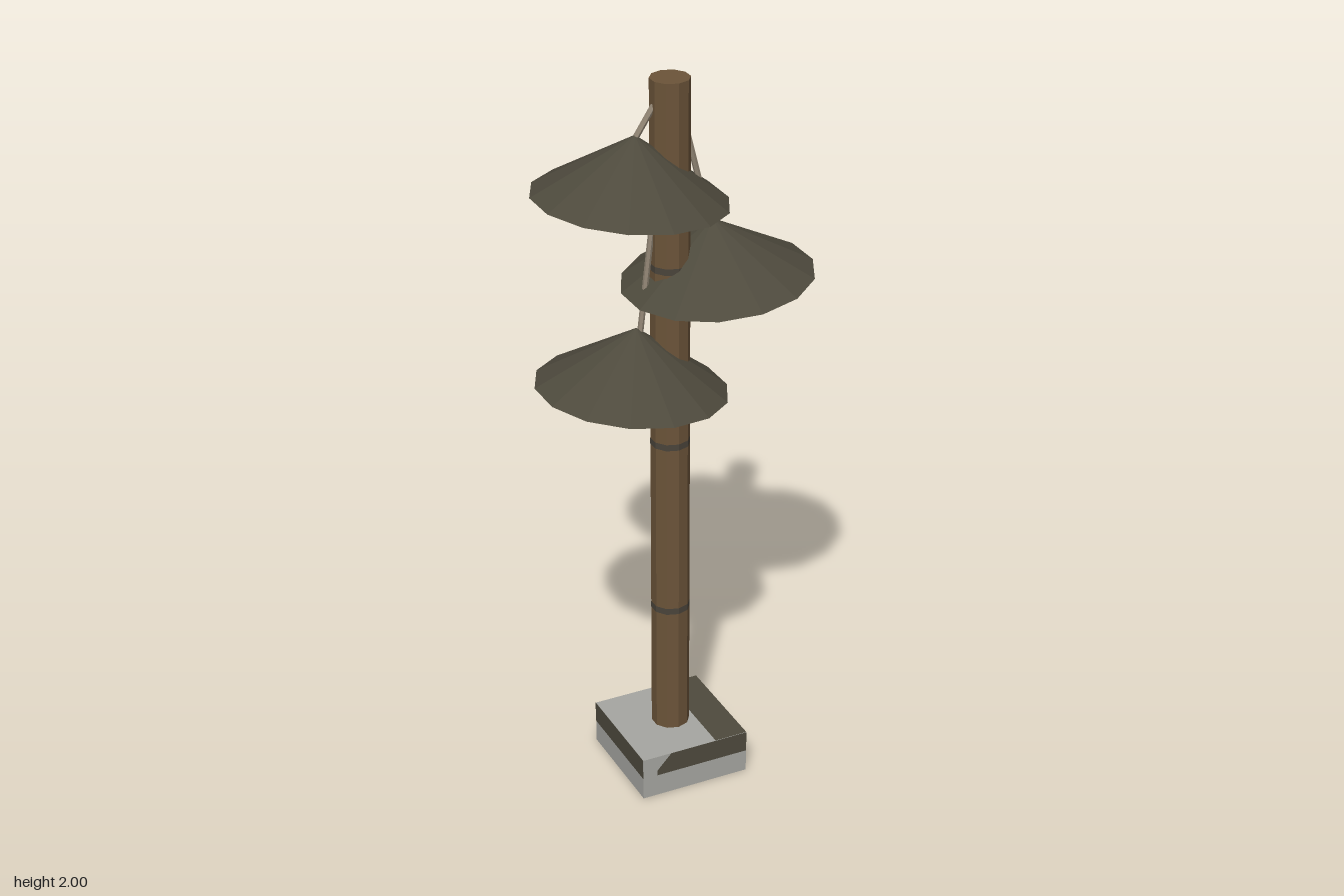
import * as THREE from 'three';

const mat = (name, color) => {
  const m = new THREE.MeshStandardMaterial({ color });
  m.name = name;
  return m;
};

export function createModel() {
  const model = new THREE.Group();
  model.name = 'shadedPost';

  const wood = mat('wood', 0x6b5439);
  const seam = mat('seam', 0x4a443b);
  const slate = mat('slate', 0x4e4a3d);
  const stone = mat('stone', 0xa6a6a1);
  const rod = mat('rod', 0x918574);

  const add = (name, geometry, material, x = 0, y = 0, z = 0, parent = model) => {
    geometry = geometry.index ? geometry.toNonIndexed() : geometry;
    geometry.computeVertexNormals(); // crisp facets
    const mesh = new THREE.Mesh(geometry, material);
    mesh.name = name;
    mesh.position.set(x, y, z);
    parent.add(mesh);
    return mesh;
  };

  const CX = -0.012, BASE = 0.312, BASE_H = 0.125, HALF = BASE / 2;

  // Stone footing with dark painted patches lying just proud of each face
  const footing = new THREE.Group();
  footing.name = 'footing';
  footing.position.x = CX;
  model.add(footing);
  add('footingBlock', new THREE.BoxGeometry(BASE, BASE_H - 0.001, BASE), stone, 0, BASE_H / 2, 0, footing);

  const patch = (name, points) =>
    add(name, new THREE.ShapeGeometry(new THREE.Shape(points.map(p => new THREE.Vector2(...p)))), slate, 0, 0, 0, footing);
  const off = HALF + 0.001;
  const sideBand = [[-HALF, 0.065], [HALF, 0.065], [HALF, BASE_H], [-HALF, BASE_H]];
  const chippedBand = [[-0.115, 0.065], [HALF, 0.065], [HALF, BASE_H], [-0.073, BASE_H], [-0.115, 0.08]];
  ['front', 'left', 'back', 'right'].forEach((side, i) => {
    const p = patch(side + 'Band', i % 2 ? sideBand : chippedBand);
    const a = i * Math.PI / 2;
    p.rotation.y = a;
    p.position.set(Math.sin(a) * off, 0, Math.cos(a) * off);
  });
  const strip = [[0.062, -HALF], [HALF, -HALF], [HALF, HALF], [0.062, HALF]];
  const topStrip = patch('topStrip', strip);
  topStrip.rotation.x = -Math.PI / 2;
  topStrip.position.y = BASE_H + 0.0005;
  const bottomStrip = patch('bottomStrip', strip.map(([x, z]) => [-x, z]).reverse());
  bottomStrip.rotation.x = Math.PI / 2;
  const spot = patch('bottomSpot', [[-0.05, -0.015], [0.03, -0.025], [0.05, 0.01], [0, 0.025], [-0.04, 0.02]]);
  spot.rotation.x = Math.PI / 2;

  // Ten-sided pole with thin seams
  add('pole', new THREE.CylinderGeometry(0.052, 0.052, 1.95, 10), wood, CX, 1.025, 0);
  for (const y of [0.5, 1, 1.5]) {
    add('poleSeam', new THREE.CylinderGeometry(0.0528, 0.0528, 0.018, 10, 1, true), seam, CX, y, 0);
  }

  // Rod between two points in the xy plane
  const hanger = (x0, y0, x1, y1) => {
    const length = Math.hypot(x1 - x0, y1 - y0);
    const mesh = add('hangerRod', new THREE.CylinderGeometry(0.008, 0.008, length, 6), rod, (x0 + x1) / 2, (y0 + y1) / 2, 0);
    mesh.rotation.z = -Math.atan2(x1 - x0, y1 - y0);
  };

  // Tilted conical shades on alternating sides, each hung from the pole
  const H = 0.164, TILT = 0.09;
  [
    { side: -1, y: 1.7025, rod: [-0.104, 1.86, -0.045, 1.95] },
    { side: 1, y: 1.441, rod: [0.099, 1.595, 0.022, 1.9] },
    { side: -1, y: 1.179, rod: [-0.096, 1.33, -0.045, 1.76] },
  ].forEach(({ side, y, rod: r }) => {
    const shade = add('shade', new THREE.ConeGeometry(0.253, H, 14).translate(0, H / 2, 0), slate, side * 0.122, y, 0);
    shade.rotation.z = side * TILT;
    hanger(...r);
  });

  return model;
}
